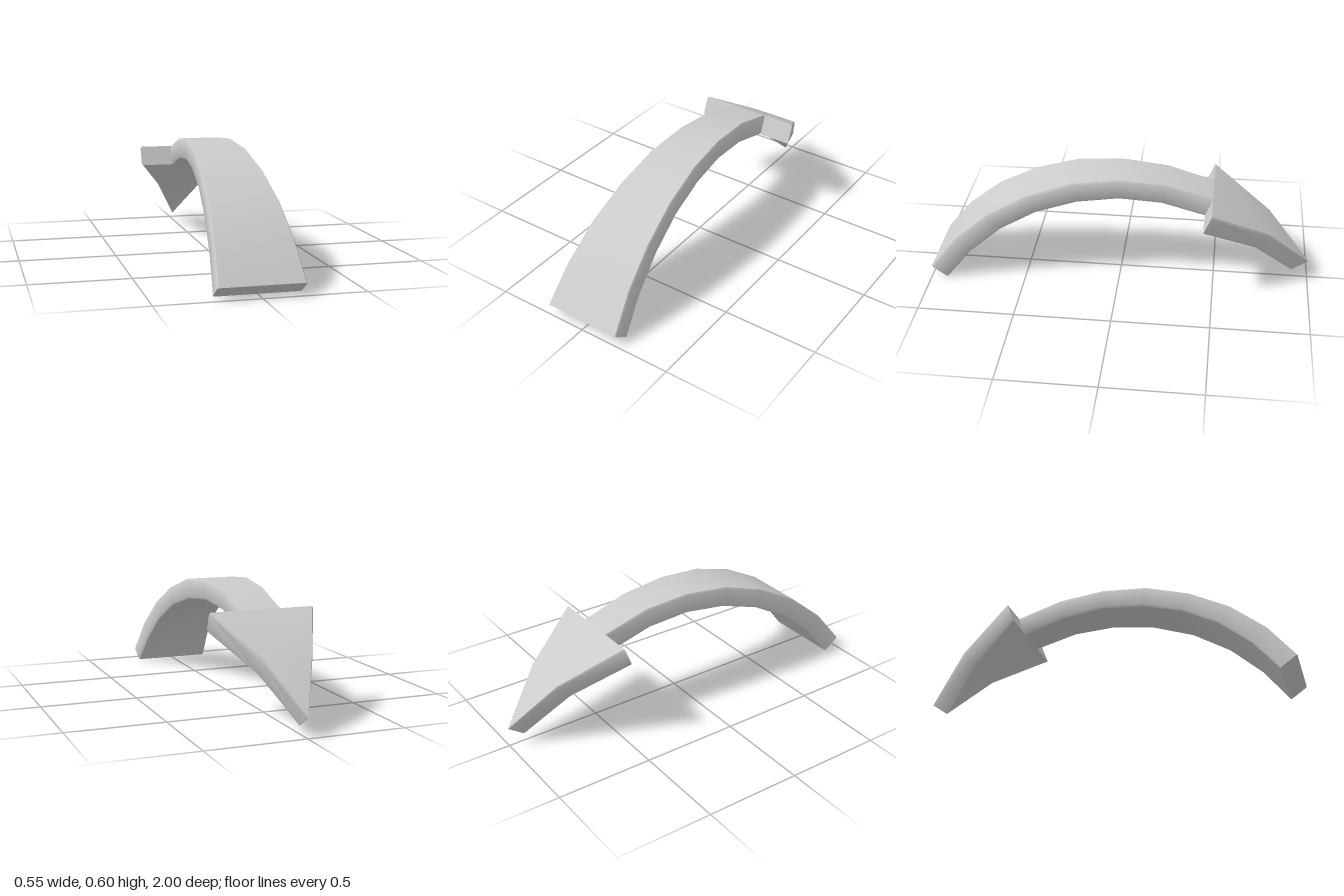
import * as THREE from 'three';
import { toCreasedNormals } from 'three/addons/utils/BufferGeometryUtils.js';

// Stations: [outer z, outer y, inner z, inner y, half width], front to back
const SHAFT = [
  [1.0, 0.06, 0.915, 0.0, 0.21],
  [0.86, 0.235, 0.785, 0.16, 0.193],
  [0.68, 0.385, 0.62, 0.3, 0.175],
  [0.47, 0.5, 0.43, 0.405, 0.156],
  [0.24, 0.575, 0.22, 0.47, 0.139],
  [0, 0.6, 0, 0.495, 0.123],
  [-0.24, 0.58, -0.22, 0.475, 0.11],
  [-0.48, 0.51, -0.44, 0.41, 0.102],
];
const HEAD = [
  [-0.48, 0.51, -0.44, 0.41, 0.275],
  [-0.78, 0.33, -0.71, 0.25, 0.13],
  [-1.0, 0.1, -0.915, 0.04, 0.001],
];

// Sweep a chamfered rectangle through the stations
function sweep(stations) {
  const pos = [];
  const index = [];
  const n = 8;
  for (const [zo, yo, zi, yi, w] of stations) {
    const v = w - Math.min(0.007, w * 0.5);
    const ring = [[w, 0.1], [w, 0.9], [v, 1], [-v, 1], [-w, 0.9], [-w, 0.1], [-v, 0], [v, 0]];
    for (const [x, t] of ring) pos.push(x, yi + (yo - yi) * t, zi + (zo - zi) * t);
  }
  const last = (stations.length - 1) * n;
  for (let i = 0; i < last; i += n) {
    for (let k = 0; k < n; k++) {
      const a = i + k, b = i + (k + 1) % n;
      index.push(a, a + n, b, b, a + n, b + n);
    }
  }
  // End caps
  for (let k = 1; k < n - 1; k++) {
    index.push(0, k, k + 1, last, last + k + 1, last + k);
  }
  const geo = new THREE.BufferGeometry();
  geo.setAttribute('position', new THREE.Float32BufferAttribute(pos, 3));
  geo.setIndex(index);
  return toCreasedNormals(geo, 0.62);
}

export function createModel() {
  const group = new THREE.Group();
  group.name = 'curvedArrow';
  const material = new THREE.MeshStandardMaterial({ color: 0xcccccc });
  for (const [name, stations] of [['arrowShaft', SHAFT], ['arrowHead', HEAD]]) {
    const mesh = new THREE.Mesh(sweep(stations), material);
    mesh.name = name;
    group.add(mesh);
  }
  return group;
}
